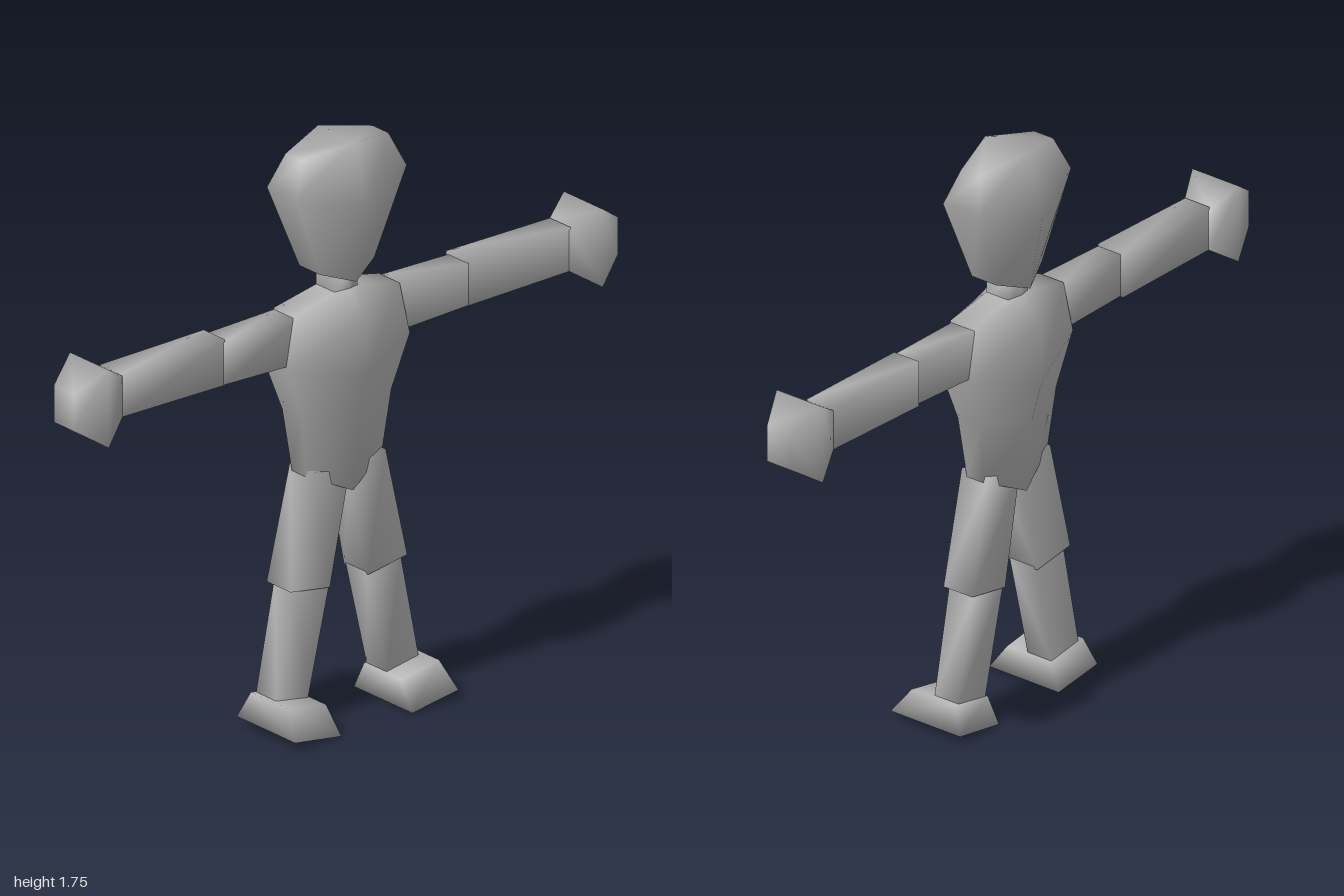
import * as THREE from 'three';

const MID_Z = -0.023; // depth of the body's centre plane

// Smooth closed skin over rings of points, with fan caps; winding is fixed by signed volume.
function loft(rings, mirror = 1) {
  const n = rings[0].length;
  const pts = rings.flat().map(([x, y, z]) => new THREE.Vector3(x * mirror, y, z));
  let tris = [];
  for (let r = 0; r < rings.length - 1; r++) {
    for (let i = 0; i < n; i++) {
      const a = r * n + i, b = r * n + (i + 1) % n;
      tris.push([a, b, b + n], [a, b + n, a + n]);
    }
  }
  const last = (rings.length - 1) * n;
  for (let i = 1; i < n - 1; i++) {
    tris.push([0, i + 1, i], [last, last + i, last + i + 1]);
  }
  const centre = pts.reduce((s, p) => s.add(p), new THREE.Vector3()).divideScalar(pts.length);
  const rel = pts.map((p) => p.clone().sub(centre));
  const volume = tris.reduce((v, [a, b, c]) => v + rel[a].dot(rel[b].clone().cross(rel[c])), 0);
  if (volume < 0) tris = tris.map(([a, b, c]) => [a, c, b]);

  const geometry = new THREE.BufferGeometry().setFromPoints(pts);
  geometry.setIndex(tris.flat());
  geometry.computeVertexNormals();
  return geometry;
}

// Six-sided section: ridges at front and back, narrow flat sides.
function ridged(yRidge, ySide, halfWidth, ridgeDepth, sideDepth) {
  return [
    [0, yRidge, MID_Z + ridgeDepth],
    [halfWidth, ySide, MID_Z + sideDepth],
    [halfWidth, ySide, MID_Z - sideDepth],
    [0, yRidge, MID_Z - ridgeDepth],
    [-halfWidth, ySide, MID_Z - sideDepth],
    [-halfWidth, ySide, MID_Z + sideDepth],
  ];
}

// Four-sided section across an arm at distance x.
function armSection(x, y0, y1, z0, z1) {
  return [[x, y0, z0], [x, y1, z0], [x, y1, z1], [x, y0, z1]];
}

// Four-sided section across a leg, from its inner edge to its outer edge.
function legSection([xi, yi], [xo, yo], zBack, zFront) {
  return [[xi, yi, zFront], [xo, yo, zFront], [xo, yo, zBack], [xi, yi, zBack]];
}

export function createModel() {
  const model = new THREE.Group();
  model.name = 'figure';
  const grey = new THREE.MeshStandardMaterial({ color: 0xb4b4b4 });
  grey.name = 'plain grey';

  const add = (name, rings, mirror) => {
    const mesh = new THREE.Mesh(loft(rings, mirror), grey);
    mesh.name = name;
    model.add(mesh);
  };

  add('head', [
    ridged(1.325, 1.36, 0.1, 0.085, 0.045),
    ridged(1.56, 1.62, 0.202, 0.13, 0.065),
    ridged(1.75, 1.72, 0.16, 0.081, 0.035),
  ]);
  add('neck', [
    ridged(1.26, 1.26, 0.042, 0.055, 0.04),
    ridged(1.36, 1.36, 0.042, 0.055, 0.04),
  ]);
  add('torso', [
    ridged(0.685, 0.75, 0.14, 0.072, 0.03),
    ridged(0.91, 0.94, 0.165, 0.09, 0.042),
    ridged(1.05, 1.1, 0.222, 0.13, 0.055),
    ridged(1.22, 1.257, 0.193, 0.122, 0.045),
    ridged(1.295, 1.29, 0.04, 0.06, 0.04),
  ]);

  for (const [side, m] of [['left', 1], ['right', -1]]) {
    // Arms stretched straight out
    add(side + 'UpperArm', [
      armSection(0.17, 1.108, 1.252, -0.068, 0.018),
      armSection(0.45, 1.117, 1.247, -0.066, 0.018),
    ], m);
    add(side + 'Forearm', [
      armSection(0.445, 1.115, 1.255, -0.075, 0.017),
      armSection(0.825, 1.12, 1.253, -0.073, 0.017),
    ], m);
    add(side + 'Hand', [
      armSection(0.82, 1.12, 1.245, -0.075, 0.017),
      armSection(0.907, 1.062, 1.3, -0.11, 0.06),
      armSection(1.0, 1.125, 1.237, -0.07, 0.017),
    ], m);

    // Legs spread outward
    add(side + 'Thigh', [
      legSection([0.07, 0.402], [0.214, 0.425], -0.075, 0.03),
      legSection([-0.002, 0.74], [0.135, 0.768], -0.068, 0.03),
    ], m);
    add(side + 'Shin', [
      legSection([0.145, 0.08], [0.262, 0.1], -0.065, 0.023),
      legSection([0.068, 0.41], [0.194, 0.428], -0.066, 0.025),
    ], m);
    add(side + 'Foot', [
      legSection([0.13, 0.003], [0.3, 0.028], -0.103, 0.152),
      legSection([0.137, 0.083], [0.278, 0.107], -0.068, 0.093),
    ], m);
  }
  return model;
}
